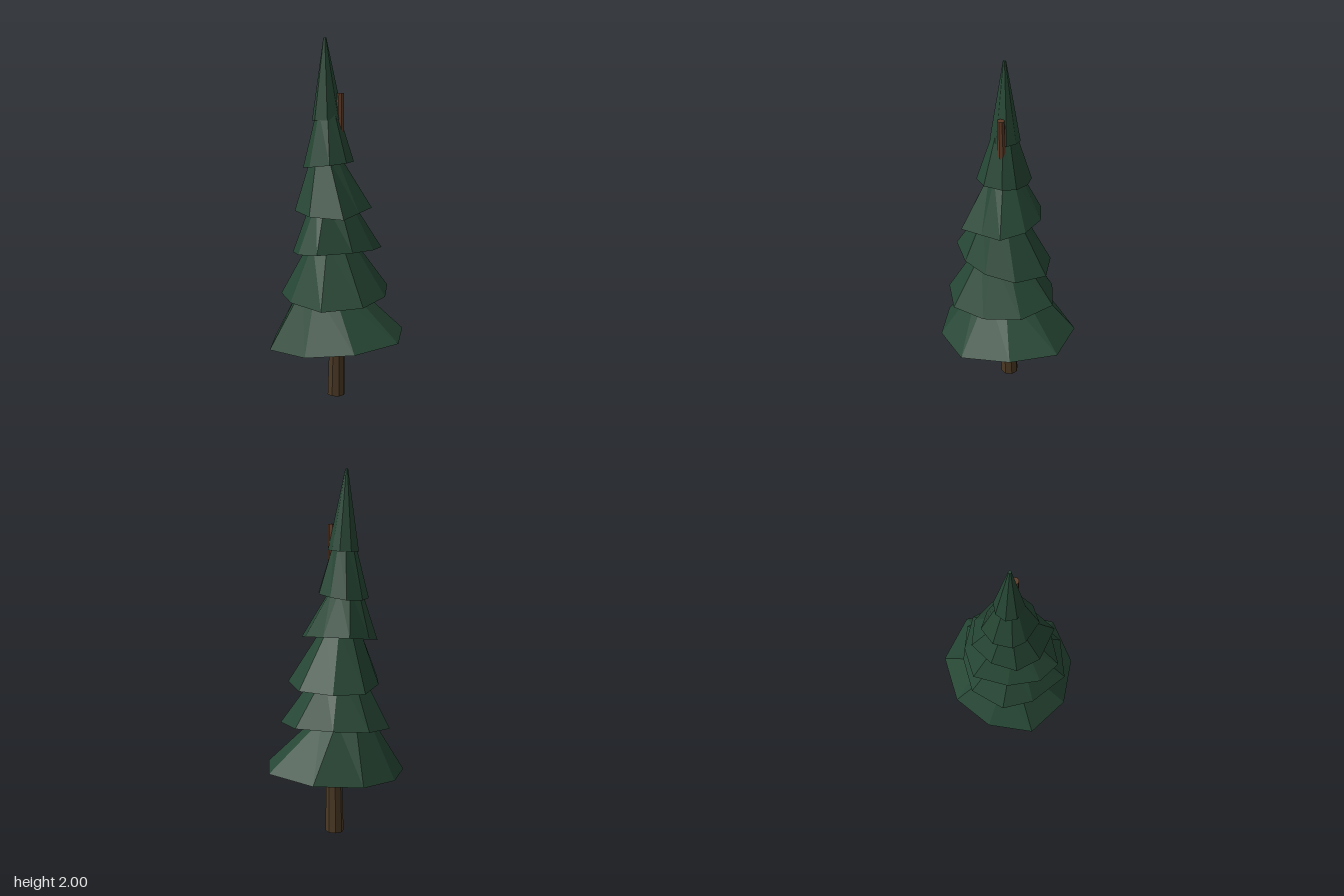
import * as THREE from 'three';

const green = new THREE.MeshStandardMaterial({ color: 0x264634, flatShading: true });
green.name = 'needle green';
const bark = new THREE.MeshStandardMaterial({ color: 0x4a3824, flatShading: true });
bark.name = 'bark brown';
const tipBark = new THREE.MeshStandardMaterial({ color: 0x5c3a26, flatShading: true });
tipBark.name = 'reddish bark';

// Each tier: ragged rim as [x, z] corners, rim plane [height, x slope, z slope],
// and the narrow upper ring [x, y, z, radius].
const tiers = [
  { rim: [[-0.18, -0.37], [0.105, -0.395], [0.29, -0.19], [0.38, 0.07], [0.23, 0.295], [-0.015, 0.393], [-0.273, 0.325], [-0.38, 0.085], [-0.355, -0.165]],
    plane: [0.36, 0.07, -0.05], top: [-0.065, 0.65, 0.04, 0.15] },
  { rim: [[-0.187, -0.212], [-0.005, -0.305], [0.187, -0.205], [0.263, -0.01], [0.233, 0.2], [0.055, 0.34], [-0.175, 0.263], [-0.306, 0.14], [-0.318, -0.065]],
    plane: [0.61, 0, -0.08], top: [-0.035, 0.9, 0.04, 0.125] },
  { rim: [[-0.177, -0.2], [0.005, -0.262], [0.17, -0.158], [0.2, 0.01], [0.153, 0.165], [0.013, 0.305], [-0.12, 0.27], [-0.235, 0.13], [-0.29, -0.065]],
    plane: [0.85, 0.09, 0.08], top: [-0.04, 1.13, 0.04, 0.11] },
  { rim: [[-0.09, -0.175], [0.05, -0.155], [0.157, -0.058], [0.14, 0.065], [0.12, 0.205], [-0.073, 0.232], [-0.2, 0.165], [-0.243, 0.03], [-0.218, -0.11]],
    plane: [1.09, -0.05, -0.13], top: [-0.075, 1.36, 0.04, 0.085] },
  { rim: [[-0.077, -0.098], [0.015, -0.08], [0.066, -0.02], [0.075, 0.085], [0.015, 0.165], [-0.11, 0.16], [-0.172, 0.12], [-0.205, 0.02], [-0.17, -0.075]],
    plane: [1.333, 0.13, 0], top: [-0.066, 1.61, 0.038, 0.06] },
  { rim: [[-0.097, -0.042], [-0.045, -0.042], [0.005, -0.015], [0.006, 0.05], [-0.03, 0.105], [-0.107, 0.105], [-0.147, 0.062], [-0.143, 0]],
    plane: [1.57, 0.05, 0], top: [-0.077, 2, 0.043, 0.008] },
];

// Closed, tilted frustum between the rim and the upper ring
function tierGeometry({ rim, plane, top }) {
  const n = rim.length;
  const cx = rim.reduce((s, p) => s + p[0], 0) / n;
  const cz = rim.reduce((s, p) => s + p[1], 0) / n;
  const height = (x, z) => plane[0] + plane[1] * x + plane[2] * z;
  const low = rim.map(([x, z]) => [x, height(x, z), z]);
  const high = rim.map(([x, z]) => {
    const a = Math.atan2(z - cz, x - cx);
    return [top[0] + top[3] * Math.cos(a), top[1], top[2] + top[3] * Math.sin(a)];
  });
  const under = [cx, height(cx, cz), cz];
  const peak = top.slice(0, 3);
  const points = [];
  for (let i = 0; i < n; i++) {
    const j = (i + 1) % n;
    points.push(low[i], high[i], high[j], low[i], high[j], low[j]);
    points.push(under, low[i], low[j], peak, high[j], high[i]);
  }
  const g = new THREE.BufferGeometry();
  g.setAttribute('position', new THREE.Float32BufferAttribute(points.flat(), 3));
  g.computeVertexNormals();
  return g;
}

// Leaning, tapering eight-sided trunk piece between heights y0 and y1
function trunkPiece(name, y0, y1, material) {
  const at = (y) => {
    const t = y / 1.71;
    return { x: -0.04 + 0.045 * t, z: -0.012 + 0.032 * t, r: 0.051 - 0.031 * t };
  };
  const a = at(y0), b = at(y1), h = y1 - y0;
  const g = new THREE.CylinderGeometry(b.r, a.r, h, 8);
  g.translate(0, h / 2, 0);
  const p = g.attributes.position;
  for (let i = 0; i < p.count; i++) {
    const t = p.getY(i) / h;
    p.setXYZ(i, p.getX(i) + a.x + (b.x - a.x) * t, p.getY(i) + y0, p.getZ(i) + a.z + (b.z - a.z) * t);
  }
  g.computeVertexNormals();
  const mesh = new THREE.Mesh(g, material);
  mesh.name = name;
  return mesh;
}

export function createModel() {
  const tree = new THREE.Group();
  tree.name = 'pineTree';
  tree.add(trunkPiece('trunk', 0, 1, bark), trunkPiece('trunkTip', 1, 1.71, tipBark));
  tiers.forEach((tier, i) => {
    const mesh = new THREE.Mesh(tierGeometry(tier), green);
    mesh.name = `branchTier${i + 1}`;
    tree.add(mesh);
  });
  return tree;
}
